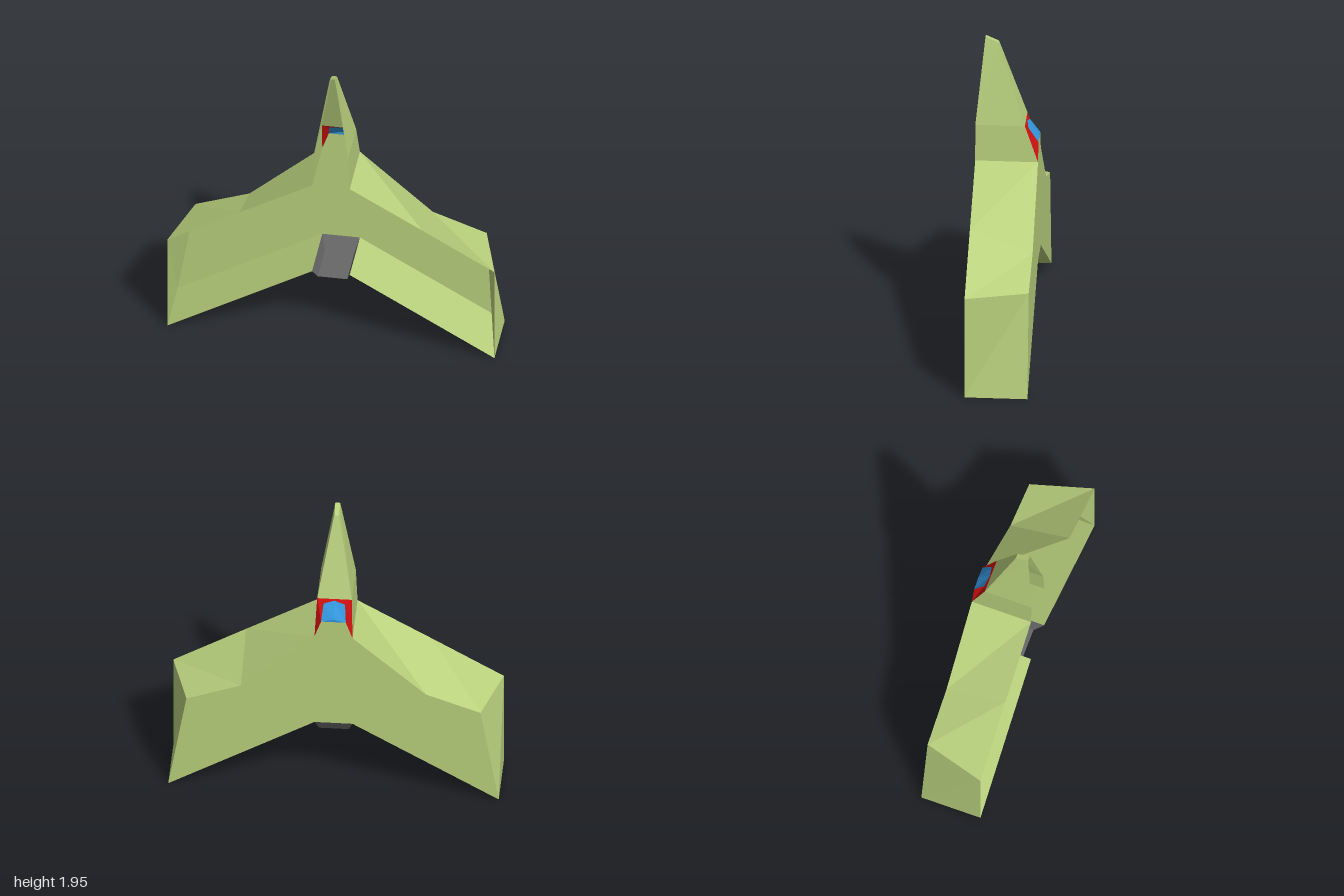
import * as THREE from 'three';

const paint = (name, color) => {
  const m = new THREE.MeshStandardMaterial({ color, side: THREE.DoubleSide });
  m.name = name;
  return m;
};

// Flat-shaded surface from convex polygons, each a list of [x, y, z] corners
function panels(name, material, polygons) {
  const pos = [];
  for (const p of polygons)
    for (let i = 1; i < p.length - 1; i++) pos.push(...p[0], ...p[i], ...p[i + 1]);
  const g = new THREE.BufferGeometry();
  g.setAttribute('position', new THREE.Float32BufferAttribute(pos, 3));
  g.computeVertexNormals();
  const mesh = new THREE.Mesh(g, material);
  mesh.name = name;
  return mesh;
}

// Same polygon on the other side, with its corner order kept outward
const mirror = (p) => p.map(([x, y, z]) => [-x, y, z]).reverse();
const both = (polys) => polys.flatMap((p) => [p, mirror(p)]);

export function createModel() {
  const green = paint('hull green', 0xb9d17d);
  const red = paint('canopy frame red', 0xcc1010);
  const blue = paint('window blue', 0x3396dc);
  const gray = paint('engine gray', 0x686868);
  const model = new THREE.Group();
  model.name = 'arrowhead craft';
  const B = -0.19, F = 0.19; // back plate and open front rim

  // Back plate: half outline, mirrored
  const half = [[0.075, 1.285], [0.115, 1.17], [0.56, 0.77], [0.89, 0.65], [1, 0], [0.115, 0.52]];
  const outline = [...half, ...half.map(([x, y]) => [-x, y]).reverse()];
  const plateGeo = new THREE.ShapeGeometry(
    new THREE.Shape(outline.map(([x, y]) => new THREE.Vector2(-x, y))));
  plateGeo.rotateY(Math.PI).translate(0, 0, B);
  const plate = new THREE.Mesh(plateGeo, green);
  plate.name = 'backPlate';
  model.add(plate);

  // Wing edges: inner top, outer top, tip, underside
  model.add(panels('wingEdges', green, both([
    [[0.115, 1.17, B], [0.115, 1.17, F], [0.56, 0.91, F], [0.56, 0.77, B]],
    [[0.56, 0.77, B], [0.56, 0.91, F], [1, 0.65, F], [0.89, 0.65, B]],
    [[0.89, 0.65, B], [1, 0.65, F], [1, 0, F], [1, 0, B]],
    [[1, 0, B], [1, 0, F], [0.115, 0.52, F], [0.115, 0.52, B]],
  ])));

  // Nose: sides, sloping back and small tip cap
  const tipF = [0.015, 1.945, 0.135], tipB = [0.015, 1.91, 0.055];
  const neckF = [0.105, 1.4, F], neckB = [0.105, 1.4, -0.11];
  const flip = ([x, y, z]) => [-x, y, z];
  model.add(panels('noseSides', green, both([
    [[0.115, 1.17, F], [0.115, 1.17, B], neckB, neckF],
    [neckF, neckB, tipB, tipF],
  ])));
  model.add(panels('noseBack', green, [
    [neckB, flip(neckB), flip(tipB), tipB],
    [tipF, tipB, flip(tipB), flip(tipF)],
  ]));

  // Canopy frame around the window
  const winTop = [0.065, 1.375, -0.128], winLow = [0.075, 1.285, B];
  const peakTop = [0, 1.393, -0.117], peakLow = [0, 1.305, B];
  model.add(panels('canopyFrame', red, both([
    [neckB, [0.115, 1.17, B], winLow, winTop],
    [neckB, winTop, peakTop],
    [neckB, peakTop, [0, 1.4, -0.11]],
  ])));

  // Ridged window and the small upright pane below it
  model.add(panels('canopyWindow', blue, both([
    [winTop, winLow, peakLow, peakTop],
    [winLow, [0, 1.285, B], peakLow],
  ])));

  // Engine tray under the hull
  const Y = 0.44;
  model.add(panels('engineSides', gray, both([
    [[0.115, 0.52, B], [0.115, 0.52, F], [0.09, Y, 0.13], [0.09, Y, -0.14]],
  ])));
  model.add(panels('engineBase', gray, [
    [[0.115, 0.52, B], [0.09, Y, -0.14], [-0.09, Y, -0.14], [-0.115, 0.52, B]],
    [[0.09, Y, -0.14], [0.09, Y, 0.13], [-0.09, Y, 0.13], [-0.09, Y, -0.14]],
  ]));
  return model;
}
